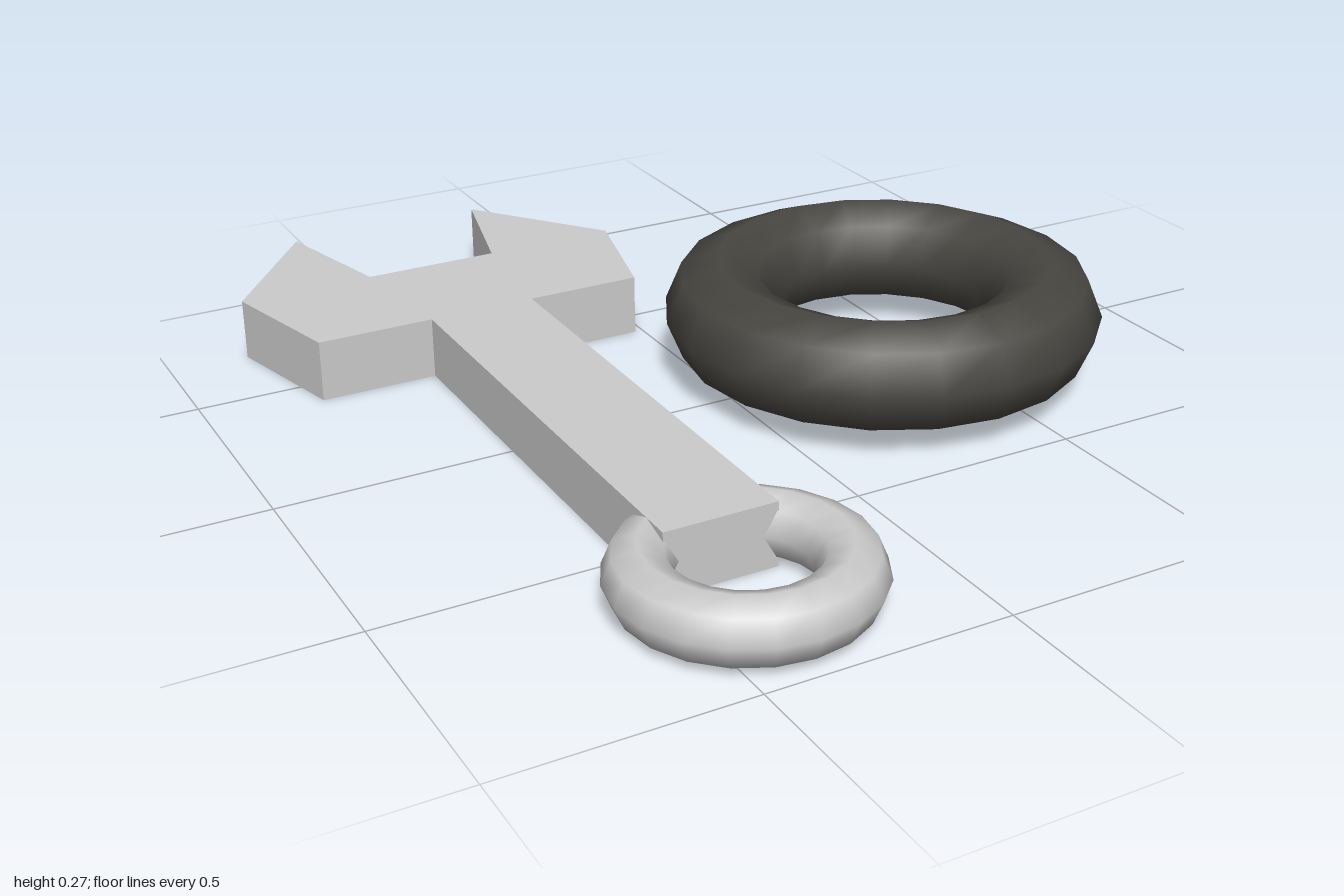
import * as THREE from 'three';

export function createModel() {
  const group = new THREE.Group();
  const grey = new THREE.MeshStandardMaterial({ color: 0xcccccc });
  const rubber = new THREE.MeshStandardMaterial({ color: 0x484641 });
  const axisX = -0.387; // centre line of the wrench

  const add = (name, geometry, material, x, y, z) => {
    const mesh = new THREE.Mesh(geometry, material);
    mesh.name = name;
    mesh.position.set(x, y, z);
    group.add(mesh);
    return mesh;
  };

  // Flat open-ended wrench: half outline as [distance from centre line, z], mirrored
  const half = [
    [0.117, 0.655], [0.117, -0.413], [0.369, -0.413],
    [0.442, -0.708], [0.221, -1], [0.148, -0.706],
  ];
  const outline = [
    ...half.map(([x, z]) => new THREE.Vector2(x, -z)),
    ...half.map(([x, z]) => new THREE.Vector2(-x, -z)).reverse(),
  ];
  const wrench = new THREE.ExtrudeGeometry(new THREE.Shape(outline), { depth: 0.133, bevelEnabled: false });
  wrench.rotateX(-Math.PI / 2);
  add('wrench', wrench, grey, axisX, 0, 0);

  // Rings lying flat, each with an eight-sided section
  const ring = (radius, tube) => new THREE.TorusGeometry(radius, tube, 8, 20).rotateX(-Math.PI / 2);
  add('handleRing', ring(0.19, 0.066), grey, axisX, 0.067, 0.742);
  add('tyre', ring(0.352, 0.117), rubber, 0.354, 0.149, 0.031);

  return group;
}
